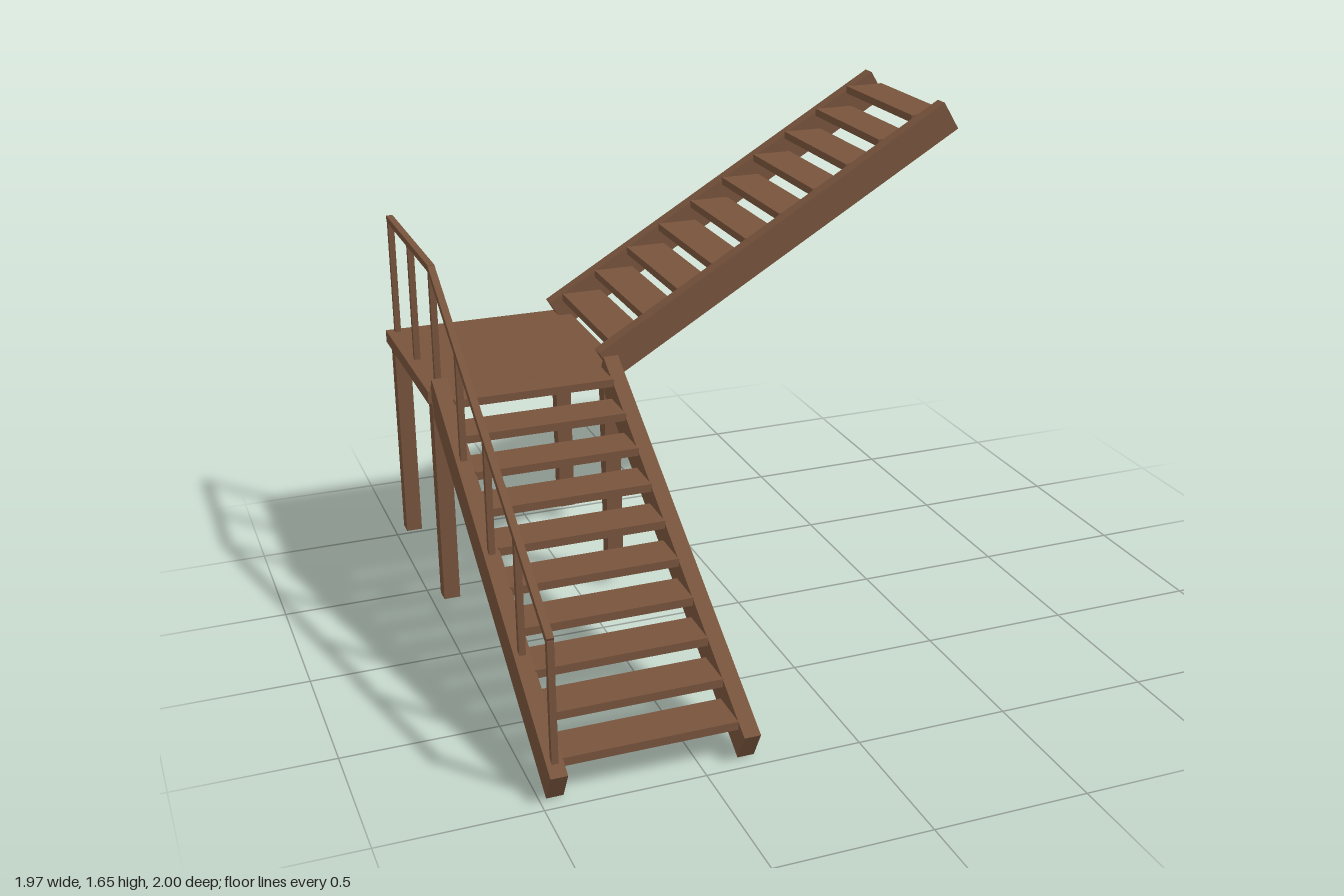
import * as THREE from 'three';

const wood = new THREE.MeshStandardMaterial({ color: 0x77533b });
wood.name = 'brownWood';

function box(parent, name, w, h, d, x, y, z) {
  const m = new THREE.Mesh(new THREE.BoxGeometry(w, h, d), wood);
  m.name = name;
  m.position.set(x, y, z);
  parent.add(m);
  return m;
}

// Straight beam of section w x h running from a to b
function beam(parent, name, a, b, w, h) {
  const p = new THREE.Vector3(...a), q = new THREE.Vector3(...b);
  const mid = p.clone().add(q).multiplyScalar(0.5);
  const m = box(parent, name, w, h, p.distanceTo(q), mid.x, mid.y, mid.z);
  m.lookAt(q);
  return m;
}

// Open flight climbing toward -z; origin at the nose of the first tread
function flight(name) {
  const g = new THREE.Group();
  g.name = name;
  const run = 0.128, rise = 0.0772, depth = 0.148;
  for (let i = 0; i < 10; i++) {
    box(g, 'tread', 0.552, 0.027, depth, 0, i * rise, -i * run - depth / 2);
  }
  for (const s of [-1, 1]) {
    beam(g, 'stringer', [s * 0.3, -0.066, 0.02], [s * 0.3, 0.706, -1.285], 0.053, 0.114);
  }
  return g;
}

export function createModel() {
  const model = new THREE.Group();
  model.name = 'staircase';

  // Landing and its four legs
  box(model, 'landing', 0.685, 0.045, 0.68, -0.648, 0.802, -0.66);
  for (const x of [-0.952, -0.352]) {
    for (const z of [-0.333, -0.933]) box(model, 'leg', 0.056, 0.73, 0.056, x, 0.42, z);
  }

  // Two flights at a right angle
  const lower = flight('lowerFlight');
  lower.position.set(-0.652, 0.116, 0.95);
  const upper = flight('upperFlight');
  upper.position.set(-0.336, 0.893, -0.658);
  upper.rotation.y = -Math.PI / 2;
  model.add(lower, upper);

  // Handrail: sloped part, then level part along the landing
  const railing = new THREE.Group();
  railing.name = 'railing';
  model.add(railing);
  const x = -0.952, t = 0.023, z0 = 0.95, z1 = -0.335, zEnd = -0.975;
  const y0 = 0.52, y1 = 1.247;
  beam(railing, 'slopedRail', [x, y0, z0 + 0.005], [x, y1, z1], t, t);
  beam(railing, 'levelRail', [x, y1, z1 + 0.006], [x, y1, zEnd - 0.012], t, t);
  for (let i = 0; i < 7; i++) {
    const z = z0 + (zEnd - z0) * i / 6;
    const f = Math.min(1, (z0 - z) / (z0 - z1));
    const top = y0 + (y1 - y0) * f;
    const bottom = i < 4 ? 0.1 + (z0 - z) * 0.59 : 0.81;
    box(railing, 'railPost', t - 0.002, top - bottom, t - 0.002, x, (top + bottom) / 2, z);
  }
  return model;
}
